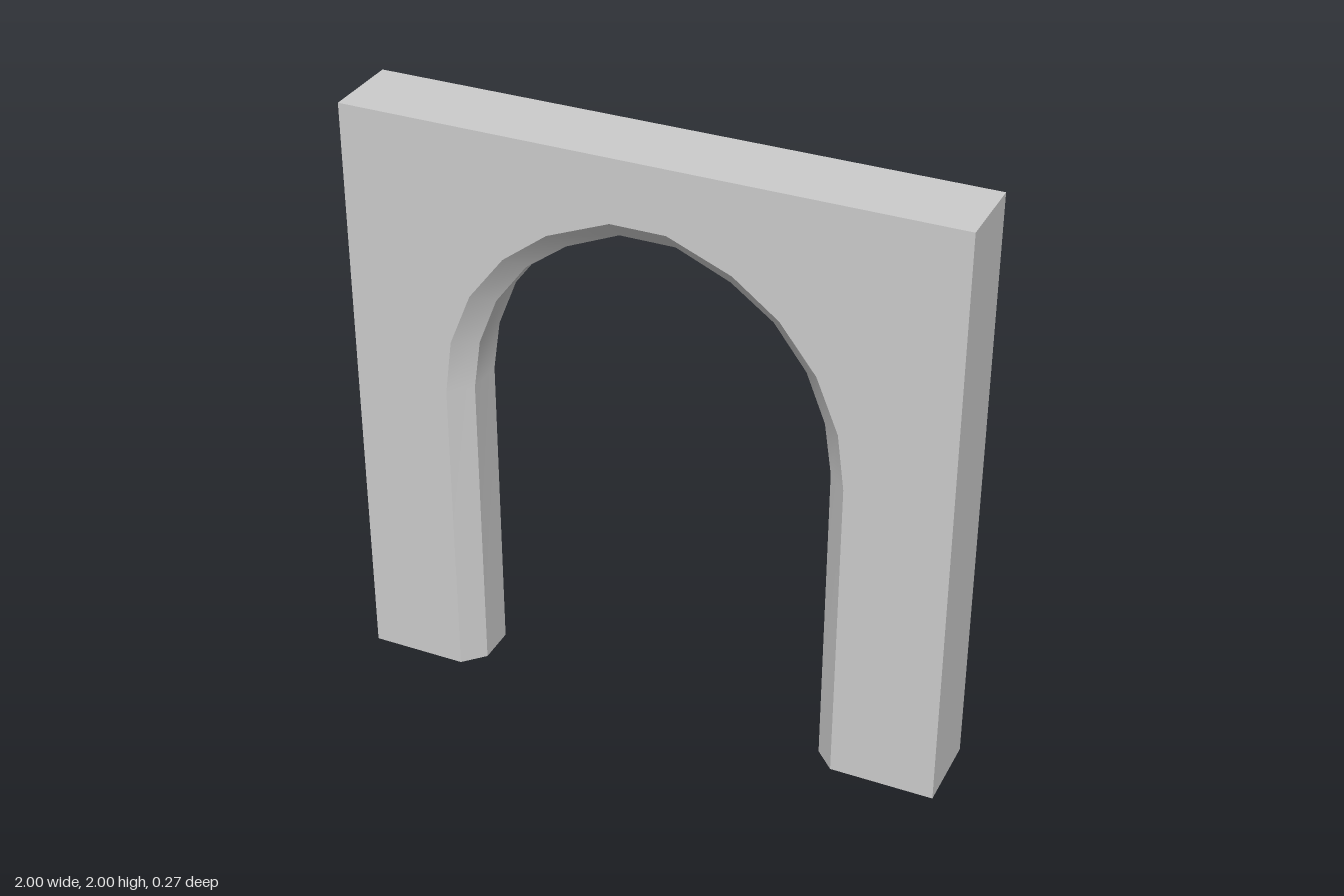
import * as THREE from 'three';

const D = 0.133;      // half thickness of the wall
const F = 0.066;      // half width of the flat inner band between the chamfers
const CX = -0.012;    // the opening sits slightly off centre

// Half profiles of the opening, from foot to crown
const WIDE = [[0.668, 0], [0.668, 1.066], [0.643, 1.253], [0.569, 1.433], [0.449, 1.588], [0.299, 1.702], [0.091, 1.787]];
const NARROW = [[0.602, 0], [0.602, 1.066], [0.577, 1.237], [0.513, 1.398], [0.406, 1.54], [0.267, 1.642], [0.091, 1.718]];

// Full arch path: up the +x jamb, over the crown, down the -x jamb
const arch = (half) => [
  ...half.map(([x, y]) => [CX + x, y]),
  ...half.slice().reverse().map(([x, y]) => [CX - x, y]),
];

// Surface joining path a at depth za to path b at depth zb
function strip(a, za, b, zb, flat) {
  const pos = [], idx = [];
  a.forEach(([x, y], i) => {
    pos.push(x, y, za, b[i][0], b[i][1], zb);
    if (i < a.length - 1) {
      const k = i * 2;
      idx.push(k, k + 2, k + 1, k + 1, k + 2, k + 3);
    }
  });
  let g = new THREE.BufferGeometry();
  g.setAttribute('position', new THREE.Float32BufferAttribute(pos, 3));
  g.setIndex(idx);
  if (flat) g = g.toNonIndexed();
  g.computeVertexNormals();
  return g;
}

const polygon = (pts) => new THREE.ShapeGeometry(new THREE.Shape(pts.map(([x, y]) => new THREE.Vector2(x, y))));

export function createModel() {
  const group = new THREE.Group();
  const material = new THREE.MeshStandardMaterial({ color: 0xcccccc });
  const add = (name, geometry) => {
    const mesh = new THREE.Mesh(geometry, material);
    mesh.name = name;
    group.add(mesh);
  };
  const wide = arch(WIDE), narrow = arch(NARROW);
  const border = [[-1, 0], [-1, 2], [1, 2], [1, 0]];

  // Front and back wall faces
  const outline = [...border, ...wide];
  add('frontFace', polygon(outline).translate(0, 0, D));
  add('backFace', polygon(outline.map(([x, y]) => [-x, y])).rotateY(Math.PI).translate(0, 0, -D));

  // Outer sides and top
  add('outerSides', strip(border, D, border, -D, true));

  // Opening: chamfer, flat band, chamfer
  add('frontChamfer', strip(wide, D, narrow, F));
  add('archSoffit', strip(narrow, F, narrow, -F));
  add('backChamfer', strip(narrow, -F, wide, -D));

  // Undersides of the two piers
  for (const [name, s] of [['leftFoot', 1], ['rightFoot', -1]]) {
    const w = CX + s * WIDE[0][0], n = CX + s * NARROW[0][0];
    add(name, polygon([[s, -D], [s, D], [w, D], [n, F], [n, -F], [w, -D]]).rotateX(Math.PI / 2));
  }
  return group;
}
